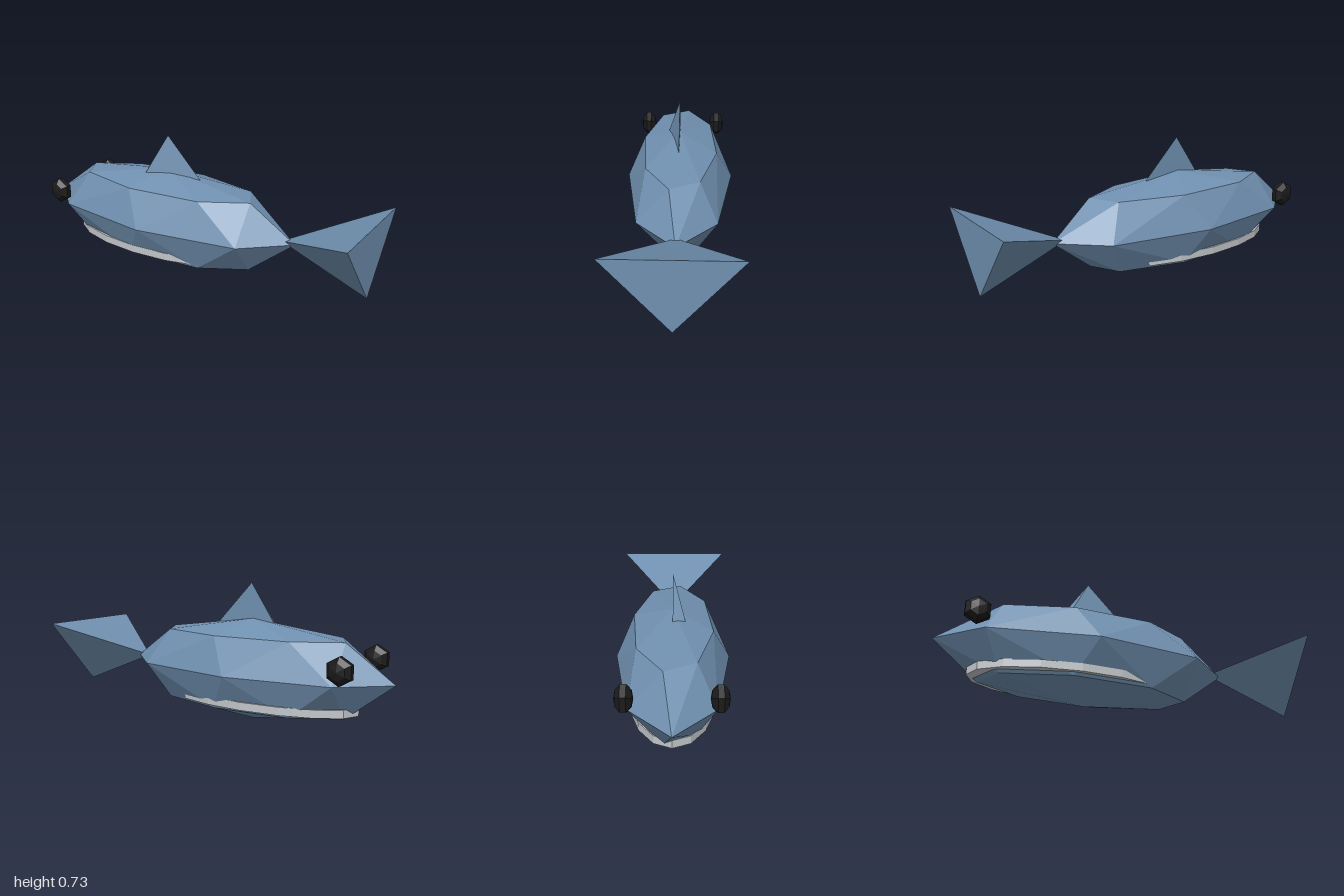
import * as THREE from 'three';
import { ConvexGeometry } from 'three/addons/geometries/ConvexGeometry.js';

const makeMaterial = (name, color) => {
  const m = new THREE.MeshStandardMaterial({ color, flatShading: true });
  m.name = name;
  return m;
};

export function createModel() {
  const group = new THREE.Group();
  group.name = 'fish';
  const blue = makeMaterial('slateBlue', 0x7090b0);
  const grey = makeMaterial('paleGrey', 0xc2c6ca);
  const black = makeMaterial('eyeBlack', 0x1a1a1a);

  const add = (name, geometry, material) => {
    const mesh = new THREE.Mesh(geometry, material);
    mesh.name = name;
    group.add(mesh);
    return mesh;
  };
  const hull = (points) => new ConvexGeometry(points.map((p) => new THREE.Vector3(...p)));

  // Body: eight-sided faceted ellipsoid, its upper and lower rings slightly twisted
  const body = [[-0.2, 0, 0], [-0.2, 0.541, 0]];
  const ring = (y, scale, twist) => {
    for (let i = 0; i < 8; i++) {
      const a = (i * Math.PI) / 4 + twist;
      body.push([-0.2 + 0.8 * scale * Math.cos(a), y, 0.297 * scale * Math.sin(a)]);
    }
  };
  ring(0.08, Math.SQRT1_2, Math.PI / 16);
  ring(0.272, 1, 0);
  ring(0.462, Math.SQRT1_2, Math.PI / 16);
  add('body', hull(body), blue);

  // Tail and back fin: four-cornered wedges
  add('tail', hull([[0.52, 0.275, 0], [1, 0.46, 0.325], [1, 0.46, -0.325], [1, 0.083, 0]]), blue);
  add('dorsalFin', hull([[-0.19, 0.73, 0], [-0.335, 0.513, 0], [0.02, 0.51, 0], [-0.3, 0.513, 0.064]]), blue);

  // Mouth: flat horseshoe that pokes out of the lower front of the body
  const start = 0.27 * Math.PI;
  const steps = 12;
  const arc = (rx, rz) => Array.from({ length: steps + 1 }, (_, i) => {
    const a = start + (i / steps) * 2 * (Math.PI - start);
    return new THREE.Vector2(-0.25 + rx * Math.cos(a), rz * Math.sin(a));
  });
  const horseshoe = new THREE.Shape([...arc(0.565, 0.235), ...arc(0.47, 0.18).reverse()]);
  const mouth = new THREE.ExtrudeGeometry(horseshoe, { depth: 0.042, bevelEnabled: false });
  mouth.rotateX(Math.PI / 2);
  add('mouth', mouth, grey).position.y = 0.139;

  // Eyes: flattened six-sided balls on either side of the head
  for (const side of [1, -1]) {
    const eye = new THREE.SphereGeometry(0.075, 6, 5);
    eye.rotateX(Math.PI / 2).rotateZ(Math.PI / 6).scale(1, 1, 0.6);
    add(side > 0 ? 'frontEye' : 'backEye', eye, black).position.set(-0.81, 0.355, side * 0.217);
  }
  return group;
}
